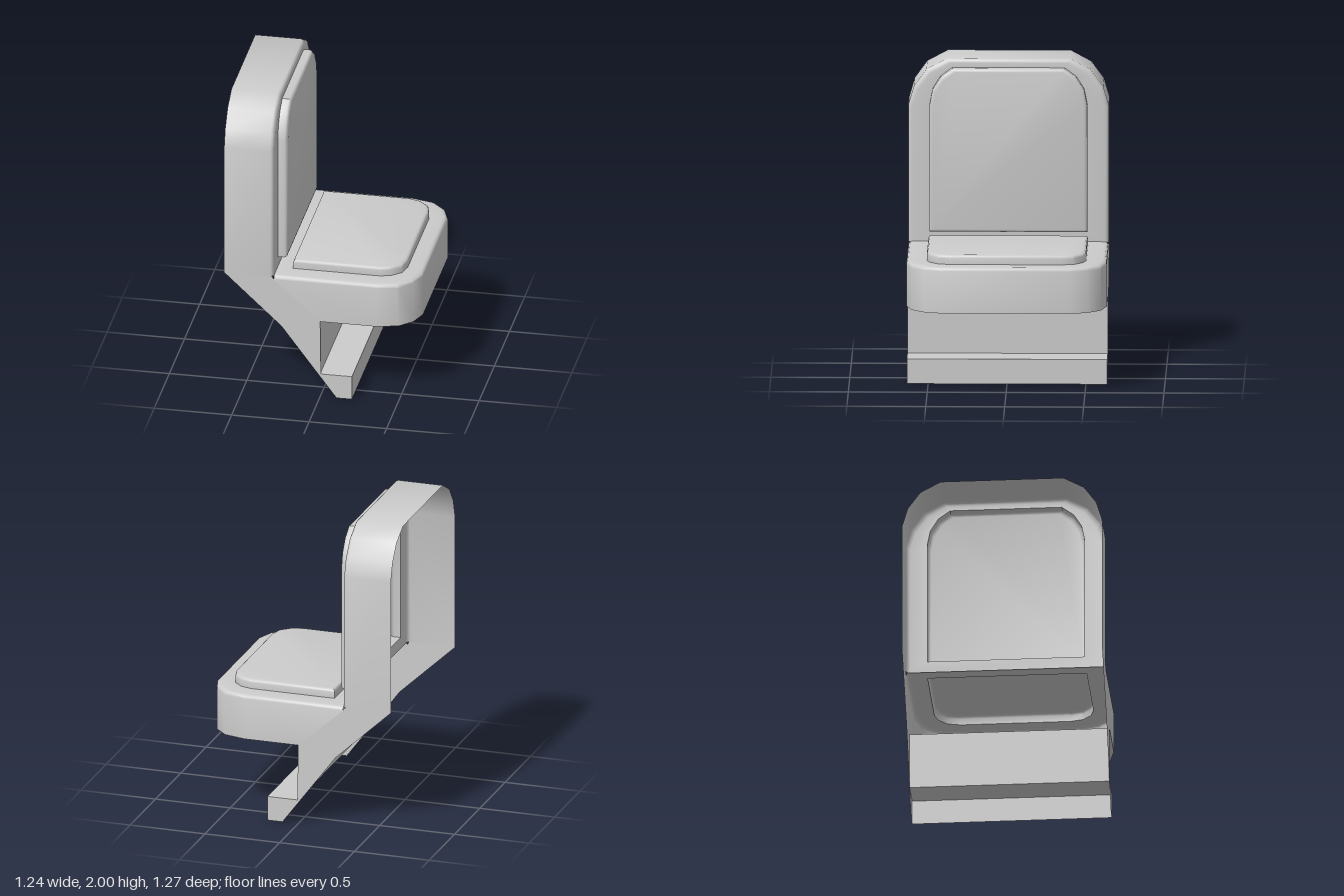
import * as THREE from 'three';
import { toCreasedNormals } from 'three/addons/utils/BufferGeometryUtils.js';

const grey = new THREE.MeshStandardMaterial({ color: 0xcccccc, side: THREE.DoubleSide });

// Half outlines as [half width, length]: base point, then the rounded far corner
const backHalf = [[0.635, 0.82], [0.635, 1.7], [0.6, 1.82], [0.52, 1.93], [0.39, 2]];
const backPadHalf = [[0.5, 0.895], [0.5, 1.71], [0.48, 1.81], [0.43, 1.89], [0.355, 1.945]];
const seatHalf = [[0.635, -0.3], [0.635, 0.36], [0.6, 0.5], [0.52, 0.58], [0.41, 0.62]];
const seatPadHalf = [[0.505, -0.2], [0.505, 0.36], [0.485, 0.43], [0.43, 0.49], [0.35, 0.51]];

// Full mirrored outline, drawn in by d; the base edge moves by baseShift
function outline(half, d = 0, baseShift = 0) {
  const side = half.map(([w, l], i) => [w - d, i ? l - d : l + baseShift]);
  return [...side, ...side.slice().reverse().map(([w, l]) => [-w, l])];
}

function makeMesh(name, triangles, crease = 0.6) {
  const geometry = new THREE.BufferGeometry();
  geometry.setAttribute('position', new THREE.Float32BufferAttribute(triangles.flat(), 3));
  const mesh = new THREE.Mesh(toCreasedNormals(geometry, crease), grey);
  mesh.name = name;
  return mesh;
}

// Strips between successive rings, either open at the base or closed
function loft(rings, closed) {
  const out = [];
  for (let i = 0; i + 1 < rings.length; i++) {
    const lower = rings[i], upper = rings[i + 1], n = lower.length;
    for (let j = 0; j < (closed ? n : n - 1); j++) {
      const k = (j + 1) % n;
      out.push(lower[j], upper[j], upper[k], lower[j], upper[k], lower[k]);
    }
  }
  return out;
}

// Flat fan over a convex ring
function cap(ring, flip = false) {
  const out = [];
  for (let j = 1; j + 1 < ring.length; j++) {
    out.push(ring[0], ring[flip ? j : j + 1], ring[flip ? j + 1 : j]);
  }
  return out;
}

// Rings for a rounded rim ending at the given level
function rim(half, level, r, place, moveBase) {
  return [0, 1, 2, 3].map((i) => {
    const a = (i / 3) * Math.PI / 2;
    const d = r * (1 - Math.cos(a));
    return place(outline(half, d, moveBase ? d : 0), level - r * (1 - Math.sin(a)));
  });
}

export function createModel() {
  const model = new THREE.Group();

  // Back outlines stand upright and advance along x; seat outlines lie flat and rise along y
  const upright = (pts, x) => pts.map(([w, l]) => [x, l, w]);
  const flat = (pts, y) => pts.map(([w, l]) => [l, y, -w]);

  // Backrest: hollow arch, front face around the pad, and the raised pad
  const backRim = rim(backHalf, -0.3, 0.025, upright, false);
  const backPadBase = upright(outline(backPadHalf), -0.3);
  const backPadRim = rim(backPadHalf, -0.238, 0.02, upright, true);
  model.add(makeMesh('backrestShell', [
    ...loft([upright(outline(backHalf), -0.62), ...backRim], false),
    ...loft([backRim[3], backPadBase], true),
  ]));
  model.add(makeMesh('backrestPad', [
    ...loft([backPadBase, ...backPadRim], true), ...cap(backPadRim[3]),
  ]));

  // Seat: rounded block with underside, top border and raised pad
  const seatRim = rim(seatHalf, 0.825, 0.025, flat, false);
  const seatBottom = flat(outline(seatHalf.map(([w, l]) => [w, Math.max(l, 0)])), 0.53);
  const seatPadBase = flat(outline(seatPadHalf), 0.825);
  const seatPadRim = rim(seatPadHalf, 0.885, 0.02, flat, true);
  model.add(makeMesh('seatShell', [
    ...loft([seatBottom, ...seatRim], false),
    ...loft([seatRim[3], seatPadBase], true),
    ...cap(seatBottom, true),
  ]));
  model.add(makeMesh('seatPad', [
    ...loft([seatPadBase, ...seatPadRim], true), ...cap(seatPadRim[3]),
  ]));

  // Flat side panels joining back, seat and foot
  const panel = new THREE.Shape([
    [-0.62, 0.82], [-0.25, 0.475], [0.105, 0], [0.205, 0], [0.205, 0.16],
    [0.005, 0.16], [0, 0.53], [-0.3, 0.8], [-0.31, 0.82],
  ].map(([x, y]) => new THREE.Vector2(x, y)));
  for (const s of [1, -1]) {
    const side = new THREE.Mesh(new THREE.ShapeGeometry(panel), grey);
    side.name = s > 0 ? 'frontSidePanel' : 'rearSidePanel';
    side.position.z = 0.635 * s;
    if (s < 0) {
      // Turn the face outward on the far side
      side.geometry.index.array.reverse();
      side.geometry.attributes.normal.array.forEach((v, i, a) => { a[i] = -v; });
    }
    model.add(side);
  }

  // Riser and foot step, open behind and below
  const step = [[0, 0.53], [0, 0.16], [0.205, 0.16], [0.205, 0]];
  const across = (z) => step.map(([x, y]) => [x, y, z]);
  model.add(makeMesh('footStep', loft([across(-0.635), across(0.635)], false)));

  return model;
}
